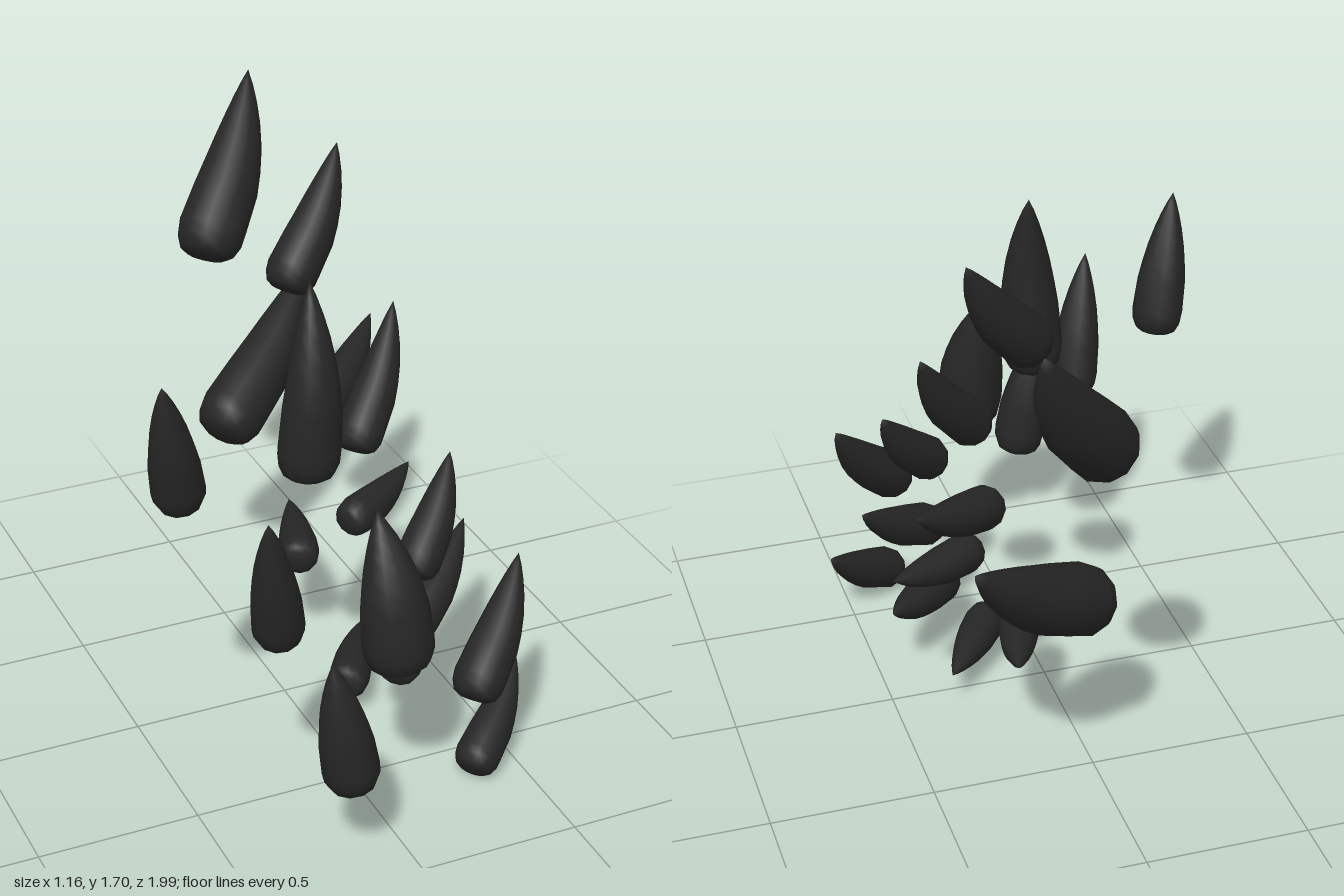
import * as THREE from 'three';
import { mergeVertices } from 'three/addons/utils/BufferGeometryUtils.js';

const SIDES = 11;
const UP = new THREE.Vector3(0, 1, 0);
const SLANT = [0.3, -1, 0.2]; // side the slanted claws bulge toward
const FRONT = [0, 0, 1];

// Each claw: centre of the rounded root, tip, radius, bulge direction
const CLAWS = [
  [[0.08, 1.28, -0.76], [0.31, 1.695, -1.0], 0.11, SLANT],
  [[0.14, 1.35, -0.25], [0.345, 1.67, -0.39], 0.083, SLANT],
  [[-0.05, 1.03, 0.29], [-0.025, 1.545, 0.235], 0.095, FRONT],
  [[-0.487, 1.045, 0.36], [-0.555, 1.41, 0.43], 0.08, null],
  [[0.225, 0.925, 0.06], [0.41, 1.245, -0.11], 0.075, SLANT],
  [[0.29, 0.845, -0.315], [0.54, 0.985, -0.54], 0.068, SLANT],
  [[0.095, 0.685, -0.625], [0.48, 1.02, -0.92], 0.11, SLANT],
  [[-0.3, 0.705, 0.64], [-0.365, 1.09, 0.725], 0.078, null],
  [[0.03, 0.625, 0.735], [0, 1.01, 0.65], 0.108, FRONT],
  [[-0.195, 0.36, 0.91], [-0.255, 0.72, 0.915], 0.085, null],
  [[0.28, 0.635, 0.37], [0.45, 0.88, 0.22], 0.072, SLANT],
  [[0.285, 0.54, -0.075], [0.54, 0.59, -0.235], 0.064, SLANT],
  [[0.3, 0.405, 0.34], [0.54, 0.59, 0.155], 0.07, SLANT],
  [[0.325, 0.395, 0.7], [0.53, 0.675, 0.53], 0.08, SLANT],
  [[0.14, 0.365, -0.205], [0.23, 0.385, -0.49], 0.065, SLANT],
  [[0.27, 0.21, 0.285], [0.48, 0.29, 0.035], 0.07, SLANT],
  [[0.365, 0.07, 0.64], [0.58, 0.255, 0.455], 0.07, SLANT],
  [[0.15, 0.11, 0.165], [0.33, 0.12, -0.105], 0.065, null],
];

// Blunt rounded root (in radii) and shaft tapering to a point (in lengths)
const ROOT = [[-0.95, 0], [-0.9, 0.55], [-0.75, 0.8], [-0.4, 0.96], [0, 1]];
const SHAFT = [[0.25, 0.95], [0.4, 0.85], [0.55, 0.72], [0.7, 0.54], [0.82, 0.36], [0.92, 0.18], [1, 0]];

function clawGeometry(axis, length, radius, bulge) {
  const profile = [
    ...ROOT.map(([s, r]) => new THREE.Vector2(r * radius, s * radius)),
    ...SHAFT.map(([t, r]) => new THREE.Vector2(r * radius, t * length)),
  ];
  let geo = new THREE.LatheGeometry(profile, SIDES);
  geo.applyQuaternion(new THREE.Quaternion().setFromUnitVectors(UP, axis));

  // Bow the shaft sideways so that the tip hooks
  if (bulge) {
    const side = new THREE.Vector3(...bulge).projectOnPlane(axis).normalize();
    const pos = geo.attributes.position;
    const p = new THREE.Vector3();
    for (let i = 0; i < pos.count; i++) {
      p.fromBufferAttribute(pos, i);
      const t = THREE.MathUtils.clamp(p.dot(axis) / length, 0, 1);
      p.addScaledVector(side, 0.2 * length * t * (1 - t));
      pos.setXYZ(i, p.x, p.y, p.z);
    }
  }

  // Weld the seam and poles for smooth shading
  geo.deleteAttribute('normal');
  geo.deleteAttribute('uv');
  geo = mergeVertices(geo, 1e-5);
  geo.computeVertexNormals();
  return geo;
}

export function createModel() {
  const group = new THREE.Group();
  group.name = 'claws';
  const material = new THREE.MeshStandardMaterial({ color: 0x262626 });

  CLAWS.forEach(([root, tip, radius, bulge], i) => {
    const base = new THREE.Vector3(...root);
    const axis = new THREE.Vector3(...tip).sub(base);
    const length = axis.length();
    const claw = new THREE.Mesh(clawGeometry(axis.normalize(), length, radius, bulge), material);
    claw.position.copy(base);
    claw.name = `claw${i + 1}`;
    group.add(claw);
  });
  return group;
}
